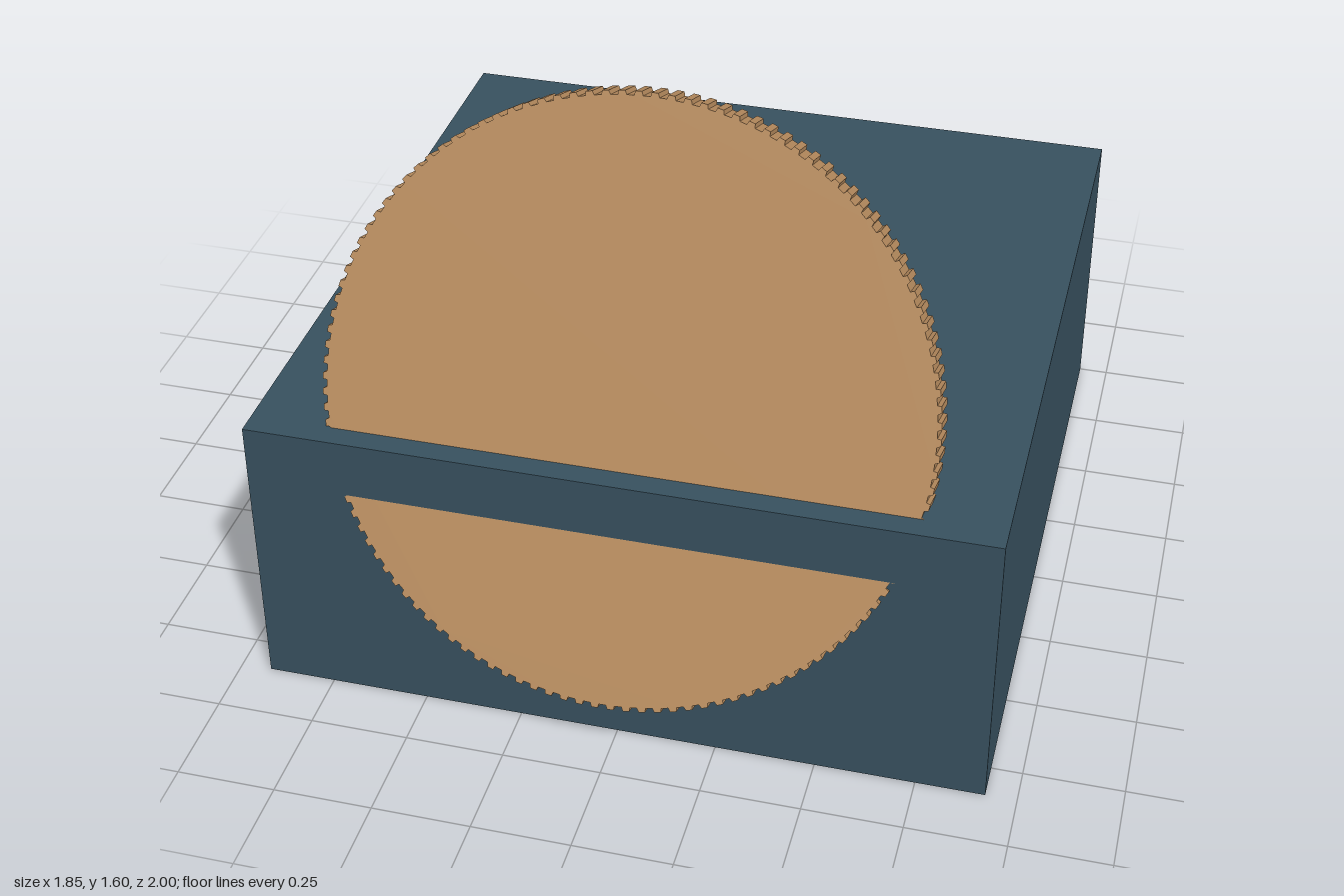
import * as THREE from 'three';

const TEETH = 120, OUTER = 0.746, INNER = 0.736, THICK = 0.09;

// Round outline with square-cut ridges around the edge
function reededOutline() {
  const shape = new THREE.Shape();
  const step = (Math.PI * 2) / TEETH;
  const corners = [[0, INNER], [0.45, INNER], [0.55, OUTER], [0.95, OUTER]];
  for (let i = 0; i < TEETH; i++) {
    corners.forEach(([t, r], k) => {
      const a = (i + t) * step;
      const x = Math.cos(a) * r, y = Math.sin(a) * r;
      if (i === 0 && k === 0) shape.moveTo(x, y);
      else shape.lineTo(x, y);
    });
  }
  shape.closePath();
  return shape;
}

export function createModel() {
  const slate = new THREE.MeshStandardMaterial({ color: 0x37505e });
  slate.name = 'slate blue';
  const bronze = new THREE.MeshStandardMaterial({ color: 0xb68b5e });
  bronze.name = 'bronze';

  const model = new THREE.Group();
  model.name = 'coinInBlock';

  // Solid block
  const block = new THREE.Mesh(new THREE.BoxGeometry(1.845, 0.762, 1.845), slate);
  block.name = 'block';
  block.position.set(0, 0.381, -0.0775);
  model.add(block);

  // Reeded disc leaning back through the block's front edge
  const geometry = new THREE.ExtrudeGeometry(reededOutline(), { depth: THICK, bevelEnabled: false });
  geometry.translate(0, 0, -THICK / 2);
  const disc = new THREE.Mesh(geometry, bronze);
  disc.name = 'reededDisc';
  disc.position.set(0, 0.891, 0.688);
  disc.rotation.x = -THREE.MathUtils.degToRad(21.2);
  model.add(disc);

  return model;
}
